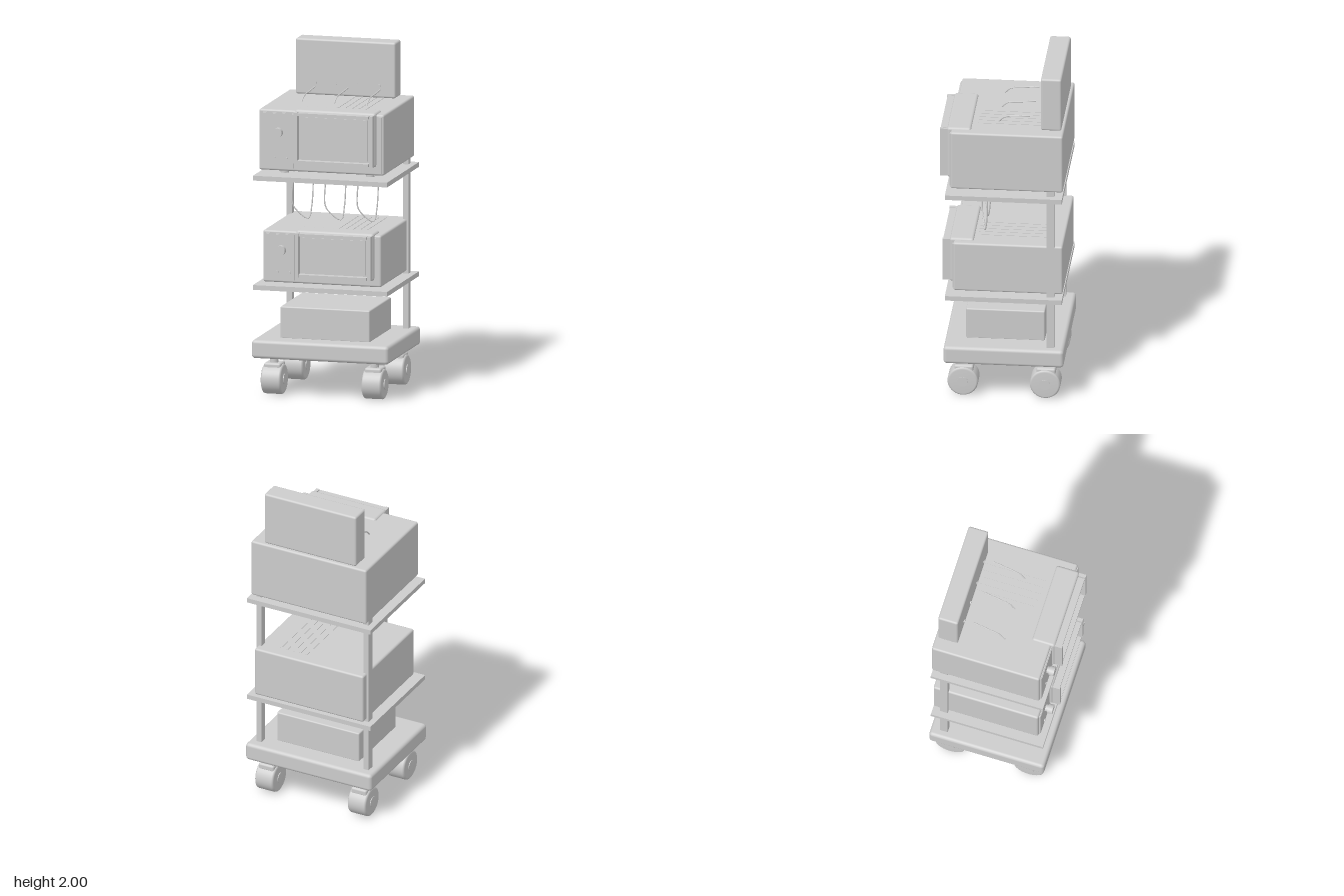
import * as THREE from 'three';
import { RoundedBoxGeometry } from 'three/addons/geometries/RoundedBoxGeometry.js';

const grey = new THREE.MeshStandardMaterial({ color: 0xcccccc });
grey.name = 'light grey';

function add(parent, name, geometry, x = 0, y = 0, z = 0) {
  const mesh = new THREE.Mesh(geometry, grey);
  mesh.name = name;
  mesh.position.set(x, y, z);
  parent.add(mesh);
  return mesh;
}

// Box given by its limits on each axis, with optional rounded edges
function box(parent, name, [x0, x1], [y0, y1], [z0, z1], r = 0) {
  const w = x1 - x0, h = y1 - y0, d = z1 - z0;
  const geometry = r ? new RoundedBoxGeometry(w, h, d, 3, r) : new THREE.BoxGeometry(w, h, d);
  return add(parent, name, geometry, (x0 + x1) / 2, (y0 + y1) / 2, (z0 + z1) / 2);
}

// Cylinder along x, y or z
function rod(parent, name, axis, r, length, x, y, z) {
  const geometry = new THREE.CylinderGeometry(r, r, length, 32);
  if (axis === 'x') geometry.rotateZ(Math.PI / 2);
  if (axis === 'z') geometry.rotateX(Math.PI / 2);
  return add(parent, name, geometry, x, y, z);
}

function cable(parent, name, points) {
  const curve = new THREE.CatmullRomCurve3(points.map(p => new THREE.Vector3(...p)));
  add(parent, name, new THREE.TubeGeometry(curve, 32, 0.004, 8));
}

function caster(x, z) {
  const g = new THREE.Group();
  g.name = 'caster';
  g.position.set(x, 0, z);
  // Wheel with softened tread edges
  const R = 0.088, W = 0.06, c = 0.012;
  const profile = [[0, -W], [R - c, -W], [R - 0.003, -W + 0.005], [R, -W + c],
    [R, W - c], [R - 0.003, W - 0.005], [R - c, W], [0, W]].map(p => new THREE.Vector2(...p));
  const wheel = add(g, 'wheel', new THREE.LatheGeometry(profile, 40), 0, 0.093, 0);
  wheel.rotation.z = Math.PI / 2;
  rod(g, 'hub', 'x', 0.03, 0.128, 0, 0.093, 0);
  box(g, 'casterHood', [-0.05, 0.05], [0.15, 0.19], [-0.06, 0.05], 0.012);
  rod(g, 'stem', 'y', 0.025, 0.05, 0, 0.2, 0.005);
  return g;
}

function oven(name, o) {
  const g = new THREE.Group();
  g.name = name;
  const { w, y0, y1, front, back, door, doorY, knob } = o;
  box(g, 'body', [-w, w], [y0, y1], [back, front], 0.012);
  box(g, 'frontPanel', [-w + 0.015, w - 0.015], [y0 + 0.012, y1 - 0.015], [front - 0.01, front + 0.006]);
  box(g, 'controlPanel', [-w + 0.02, door[0] - 0.01], [y0 + 0.018, y1 - 0.02], [front, front + 0.01]);

  // Door and the frame standing out around its window
  const f = front + 0.024, z1 = f + 0.042;
  const [d0, d1] = door, [b0, b1] = doorY;
  box(g, 'door', [d0, d1], [b0, b1], [front - 0.115, f], 0.015);
  const innerY = [b0 + 0.008, b1 - 0.01];
  box(g, 'doorBarRight', [d0 + 0.006, d0 + 0.026], innerY, [f - 0.005, z1]);
  box(g, 'doorBarLeft', [d1 - 0.026, d1 - 0.006], innerY, [f - 0.005, z1]);
  box(g, 'doorRailTop', [d0 + 0.026, d1 - 0.032], [b1 - 0.027, b1 - 0.012], [f - 0.005, z1 - 0.003]);
  box(g, 'doorRailBottom', [d0 + 0.026, d1 - 0.032], [b0 + 0.01, b0 + 0.025], [f - 0.005, z1 - 0.003]);
  box(g, 'window', [d0 + 0.04, d1 - 0.045], [b0 + 0.035, b1 - 0.04], [f - 0.004, f + 0.004]);

  // Knob and indicator buttons
  rod(g, 'knobBase', 'z', 0.021, 0.03, knob[0], knob[1], front + 0.015);
  rod(g, 'knob', 'z', 0.028, 0.03, knob[0], knob[1], front + 0.04);
  for (const dx of [-0.03, 0.045])
    rod(g, 'button', 'z', 0.008, 0.012, knob[0] + dx, b0 + 0.025, front + 0.01);

  // Vent strips on the top
  for (let i = 0; i < 5; i++) {
    const x = 0.05 + i * 0.042;
    box(g, 'ventStrip', [x, x + 0.01], [y1 - 0.002, y1 + 0.002], [-0.28, 0.14]);
  }

  // Feet
  for (const x of [-0.255, 0.255])
    for (const z of [0.155, -0.235])
      rod(g, 'foot', 'y', 0.024, y0 - o.shelf + 0.01, x, (y0 + o.shelf) / 2, z);
  return g;
}

export function createModel() {
  const model = new THREE.Group();
  model.name = 'equipmentCart';

  // Rolling base
  box(model, 'base', [-0.408, 0.408], [0.223, 0.33], [-0.367, 0.325], 0.02);
  for (const x of [-0.3, 0.3])
    for (const z of [0.218, -0.256]) model.add(caster(x, z));
  box(model, 'baseUnit', [-0.268, 0.265], [0.325, 0.513], [-0.247, 0.207], 0.008);

  // Rear posts and shelves
  for (const x of [-0.348, 0.346])
    box(model, 'post', [x - 0.016, x + 0.016], [0.32, 1.33], [-0.312, -0.266]);
  for (const y of [0.622, 1.26])
    box(model, 'shelf', [-0.4, 0.4], [y, y + 0.028], [-0.357, 0.317]);

  model.add(oven('lowerUnit', {
    w: 0.352, y0: 0.665, y1: 0.967, front: 0.273, back: -0.357, shelf: 0.65,
    door: [-0.15, 0.313], doorY: [0.703, 0.978], knob: [-0.235, 0.86]
  }));
  model.add(oven('upperUnit', {
    w: 0.373, y0: 1.32, y1: 1.675, front: 0.287, back: -0.36, shelf: 1.288,
    door: [-0.153, 0.329], doorY: [1.37, 1.685], knob: [-0.25, 1.548]
  }));

  // Upright box on top with its row of sockets
  box(model, 'topBox', [-0.299, 0.296], [1.675, 2], [-0.345, -0.226], 0.012);
  for (const x of [-0.18, -0.06, 0.065, 0.2])
    rod(model, 'socket', 'z', 0.009, 0.01, x, 1.747, -0.225);

  // Cables on top and loops hanging under the upper shelf
  for (let i = 0; i < 3; i++) {
    const x = i * 0.194;
    cable(model, 'topCable', [[-0.168 + x, 1.733, -0.175], [-0.176 + x, 1.722, -0.09],
      [-0.186 + x, 1.709, -0.01], [-0.193 + x, 1.677, 0.025]]);
    cable(model, 'hangingCable', [[-0.213 + x, 1.29, 0.118], [-0.218 + x, 1.1, 0.122],
      [-0.19 + x, 1.055, 0.113], [-0.13 + x, 1.015, 0.098],
      [-0.114 + x, 1.09, 0.086], [-0.104 + x, 1.29, 0.083]]);
  }
  return model;
}
